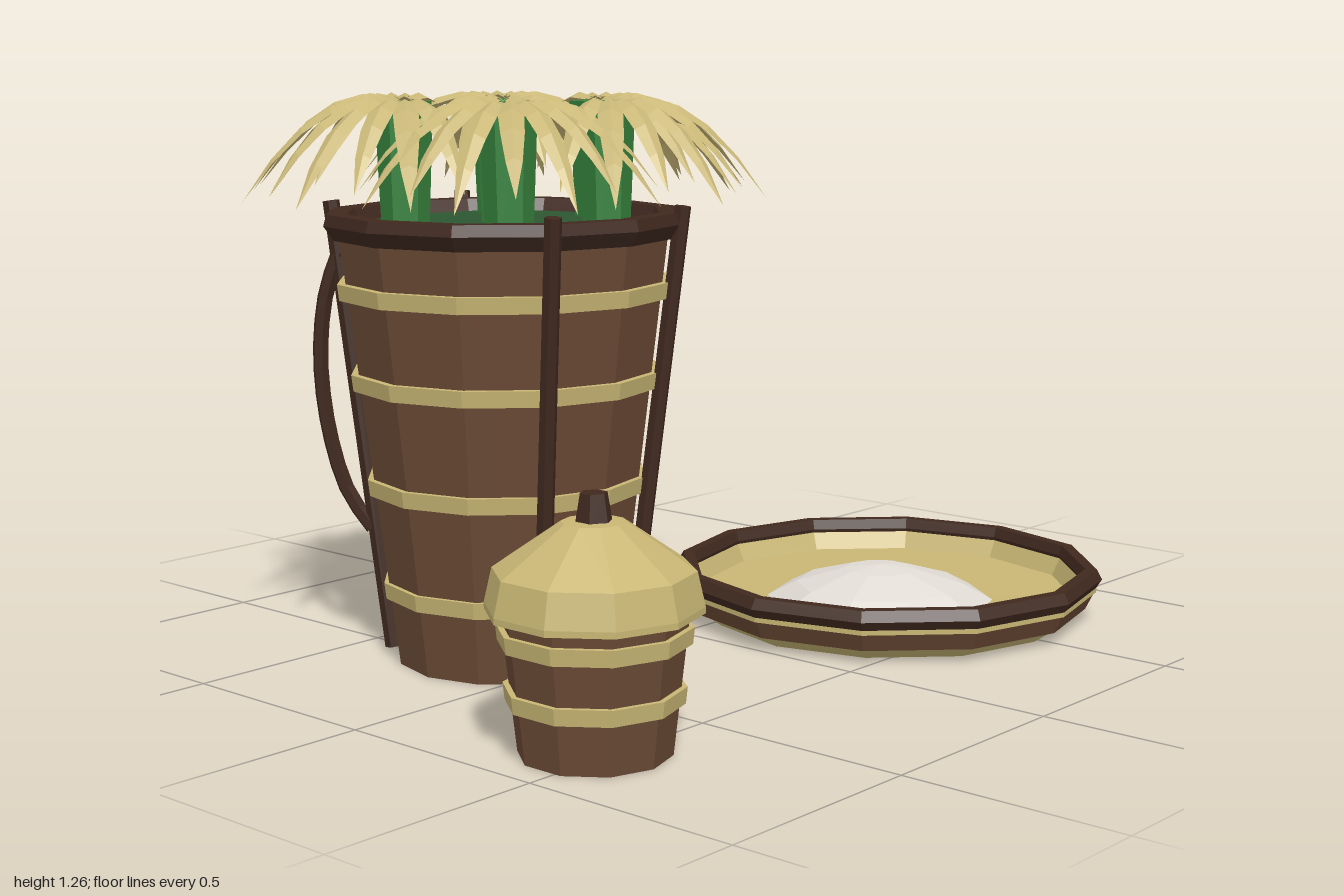
import * as THREE from 'three';

const mat = (name, color, extra = {}) => {
  const m = new THREE.MeshStandardMaterial({ color, flatShading: true, ...extra });
  m.name = name;
  return m;
};

export function createModel() {
  const wood = mat('brown wood', 0x6b4a35);
  const dark = mat('dark wood', 0x40291f);
  const straw = mat('straw', 0xc8b674);
  const leafTan = mat('dry leaf', 0xcab878, { side: THREE.DoubleSide });
  const green = mat('stem green', 0x37833d);
  const deepGreen = mat('deep green', 0x2c5732);
  const pale = mat('pale flour', 0xe2dcd6);

  const root = new THREE.Group();
  const group = (name, x, z) => {
    const g = new THREE.Group();
    g.name = name;
    g.position.set(x, 0, z);
    root.add(g);
    return g;
  };
  const add = (parent, name, geo, material) => {
    const m = new THREE.Mesh(geo, material);
    m.name = name;
    parent.add(m);
    return m;
  };
  // Faceted turned part; profile runs bottom, outside, top
  const turned = (parent, name, pts, sides, material) =>
    add(parent, name, new THREE.LatheGeometry(pts.map(p => new THREE.Vector2(...p)), sides), material);
  // Hoop wrapped around a tapering wall
  const hoop = (parent, r, y, h, slope, sides) => {
    const o = slope * h / 2;
    turned(parent, 'strawHoop', [[r - 0.03, y - h / 2], [r - o, y - h / 2], [r + o, y + h / 2], [r - 0.03, y + h / 2]], sides, straw);
  };
  // Thin round bar between two points
  const bar = (parent, name, a, b, r) => {
    const d = b.clone().sub(a);
    const m = add(parent, name, new THREE.CylinderGeometry(r, r, d.length(), 6), dark);
    m.position.copy(a).add(b).multiplyScalar(0.5);
    m.quaternion.setFromUnitVectors(new THREE.Vector3(0, 1, 0), d.normalize());
  };

  // ---- Tall basket ----
  const basket = group('tallBasket', -0.395, -0.17);
  turned(basket, 'basketBody', [[0, 0], [0.25, 0], [0.37, 0.97], [0, 0.97]], 12, wood);
  turned(basket, 'basketRim', [[0.345, 0.955], [0.38, 0.953], [0.402, 0.985], [0.395, 1.01], [0.35, 1.01], [0.335, 0.98], [0.345, 0.955]], 12, dark);
  for (const [r, y] of [[0.282, 0.17], [0.314, 0.405], [0.346, 0.64], [0.373, 0.84]]) hoop(basket, r, y, 0.036, 0.12, 12);

  // Four upright bars, with a carrying loop on each rear one
  const polar = (a, r, y) => new THREE.Vector3(Math.cos(a) * r, y, Math.sin(a) * r);
  for (const deg of [60, 120, 240, 300]) {
    const a = deg * Math.PI / 180;
    bar(basket, 'uprightBar', polar(a, 0.275, 0.005), polar(a, 0.402, 1.025), 0.019);
    if (deg > 180) {
      const path = new THREE.CatmullRomCurve3(
        [[0.385, 0.91], [0.418, 0.82], [0.435, 0.67], [0.418, 0.5], [0.375, 0.36], [0.318, 0.28]].map(([r, y]) => polar(a, r, y)));
      add(basket, 'carryingLoop', new THREE.TubeGeometry(path, 12, 0.018, 6), dark);
    }
  }

  // ---- Plants in the basket ----
  turned(basket, 'foliageBed', [[0.31, 0.965], [0.3, 0.985], [0, 0.985]], 12, deepGreen);

  // Arched, folded leaf pointing along +x
  const leafGeometry = (len, drop) => {
    const steps = 5, pos = [], idx = [];
    for (let i = 0; i <= steps; i++) {
      const t = i / steps;
      const x = 0.03 + t * (len - 0.03);
      const y = 0.02 + 0.09 * t - (drop + 0.11) * t * t;
      const w = 0.003 + 0.024 * Math.pow(Math.sin(Math.PI * Math.min(1, t * 0.85 + 0.15)), 0.8);
      const tip = i === steps ? 0 : w;
      pos.push(x, y - tip * 0.5, -tip, x, y, 0, x, y - tip * 0.5, tip);
      if (i < steps) {
        for (let j = 0; j < 2; j++) {
          const a = i * 3 + j, b = a + 1, c = a + 3, d = a + 4;
          idx.push(a, b, c, b, d, c);
        }
      }
    }
    const g = new THREE.BufferGeometry();
    g.setAttribute('position', new THREE.Float32BufferAttribute(pos, 3));
    g.setIndex(idx);
    g.computeVertexNormals();
    return g;
  };
  const longLeaf = leafGeometry(0.345, 0.19);
  const midLeaf = leafGeometry(0.315, 0.16);
  const shortLeaf = leafGeometry(0.24, 0.12);

  const plant = (x, z, facing, count, spread, geos) => {
    const p = new THREE.Group();
    p.name = 'plant';
    p.position.set(x, 0, z);
    p.rotation.y = -facing;
    basket.add(p);
    const stem = add(p, 'stem', new THREE.CylinderGeometry(0.062, 0.05, 0.29, 6), green);
    stem.position.y = 1.1;
    for (let i = 0; i < count; i++) {
      const leaf = add(p, 'leaf', geos[i % geos.length], leafTan);
      leaf.position.y = 1.235;
      leaf.rotation.y = spread * (i - (count - 1) / 2);
    }
  };
  plant(0, 0, 0, 8, Math.PI / 4, [shortLeaf]);
  for (let k = 0; k < 6; k++) {
    const a = (12 + k * 60) * Math.PI / 180;
    plant(Math.cos(a) * 0.25, Math.sin(a) * 0.25, a, 9, 0.36, [midLeaf, longLeaf]);
  }

  // ---- Small lidded pot ----
  const pot = group('liddedPot', -0.785, 0.467);
  turned(pot, 'potBody', [[0, 0], [0.155, 0], [0.188, 0.29], [0, 0.29]], 10, wood);
  hoop(pot, 0.181, 0.122, 0.034, 0.11, 10);
  hoop(pot, 0.195, 0.242, 0.034, 0.11, 10);
  turned(pot, 'potLid', [[0, 0.287], [0.218, 0.287], [0.218, 0.3], [0.202, 0.37], [0.065, 0.465], [0, 0.468]], 10, straw);
  const knob = add(pot, 'lidKnob', new THREE.CylinderGeometry(0.028, 0.038, 0.06, 6), dark);
  knob.position.y = 0.492;

  // ---- Wide dish with a mound ----
  const dish = group('wideDish', 0.48, 0.245);
  turned(dish, 'dishBase', [[0, 0], [0.425, 0], [0.475, 0.034], [0.44, 0.036]], 12, straw);
  turned(dish, 'dishWall', [[0.44, 0.03], [0.478, 0.03], [0.5, 0.075], [0.47, 0.078]], 12, wood);
  turned(dish, 'dishTrim', [[0.47, 0.072], [0.503, 0.072], [0.503, 0.085], [0.47, 0.088]], 12, straw);
  turned(dish, 'dishRim', [[0.475, 0.083], [0.503, 0.083], [0.516, 0.104], [0.503, 0.128], [0.476, 0.128], [0.468, 0.104], [0.475, 0.083]], 12, dark);
  turned(dish, 'dishInside', [[0.478, 0.11], [0.45, 0.055], [0, 0.05]], 12, straw);
  const mound = turned(dish, 'mound', [[0.275, 0.05], [0.2, 0.09], [0.085, 0.125], [0, 0.135]], 10, pale);
  mound.position.set(-0.068, 0, 0.03);

  return root;
}
